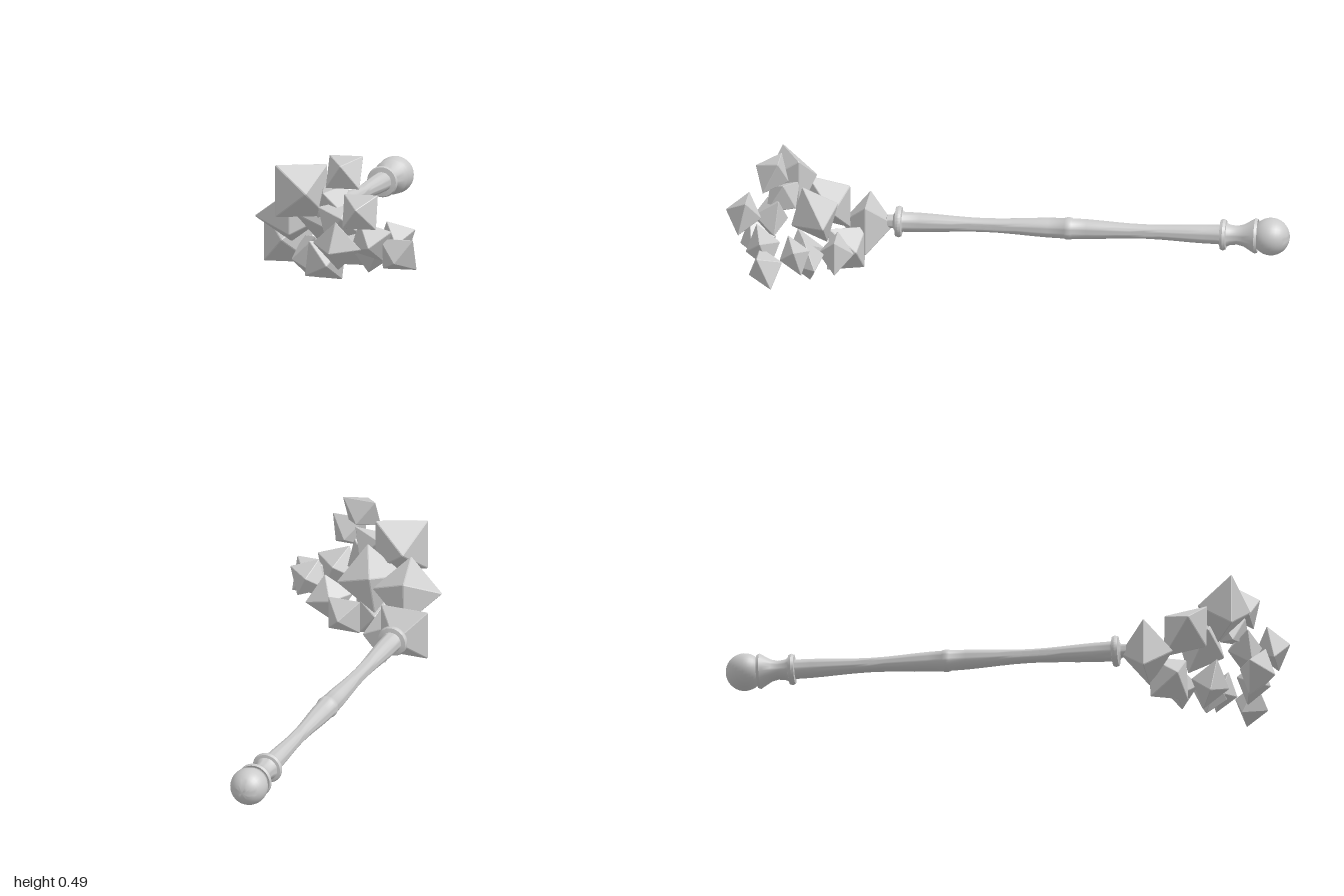
import * as THREE from 'three';
import { ConvexGeometry } from 'three/addons/geometries/ConvexGeometry.js';
import { toCreasedNormals } from 'three/addons/utils/BufferGeometryUtils.js';

const material = new THREE.MeshStandardMaterial({ color: 0xcccccc });

// Unit bipyramid: square in x/y, points along z, with bevelled edges
function crystalGeometry(bevel = 0.05) {
  const corners = [[1, 1], [-1, 1], [-1, -1], [1, -1]].map(([x, y]) => new THREE.Vector3(x, y, 0));
  const points = [];
  for (const side of [1, -1]) {
    const tip = new THREE.Vector3(0, 0, 1.05 * side);
    corners.forEach((corner, i) => {
      const face = [corner, corners[(i + 1) % 4], tip];
      const middle = new THREE.Vector3();
      face.forEach(p => middle.addScaledVector(p, 1 / 3));
      face.forEach(p => points.push(p.clone().lerp(middle, bevel)));
    });
  }
  return new ConvexGeometry(points);
}

// Turned handle: [z along the staff, radius], back to front
function handleGeometry() {
  const ball = [];
  for (let i = 0; i <= 14; i++) {
    const a = i / 14 * 2.45;
    ball.push([-0.932 - 0.068 * Math.cos(a), 0.068 * Math.sin(a)]);
  }
  // Tapered shaft with a swelling at its middle
  const swell = (from, to, r0, r1, thin) => Array.from({ length: 11 }, (_, i) => {
    const t = i / 10;
    const s = (1 - Math.cos(Math.PI * 2 * t)) / 2;
    return [from + (to - from) * t, (r0 + (r1 - r0) * t) * (1 - s) + thin * s];
  });
  const profile = [
    ...ball,
    [-0.878, 0.05], [-0.885, 0.06], [-0.875, 0.064], [-0.865, 0.058],
    [-0.835, 0.04], [-0.81, 0.034], [-0.785, 0.037], [-0.772, 0.043],
    [-0.77, 0.053], [-0.76, 0.057], [-0.75, 0.053], [-0.748, 0.036],
    ...swell(-0.74, -0.215, 0.035, 0.037, 0.026),
    [-0.212, 0.039], [-0.2, 0.041], [-0.188, 0.039],
    ...swell(-0.185, 0.395, 0.037, 0.036, 0.025),
    [0.4, 0.038], [0.403, 0.053], [0.413, 0.057], [0.424, 0.053], [0.427, 0.036],
    [0.433, 0.025], [0.455, 0.024], [0.462, 0],
  ];
  const geometry = new THREE.LatheGeometry(profile.map(([z, r]) => new THREE.Vector2(Math.max(r, 0), z)), 32);
  geometry.rotateX(Math.PI / 2);
  return toCreasedNormals(geometry, 0.75);
}

export function createModel() {
  const model = new THREE.Group();

  const handle = new THREE.Mesh(handleGeometry(), material);
  handle.name = 'handle';
  handle.position.set(-0.235, 0.144, 0);
  model.add(handle);

  // Crystals: x, y, z, half size, yaw, pitch, roll
  const crystals = [
    [-0.235, 0.133, 0.525, 0.09, 0, 0, 0],
    [-0.114, 0.343, 0.79, 0.094, 0.42, 0, 0],
    [0.06, 0.424, 0.838, 0.062, 0, -0.45, 0],
    [0.144, 0.296, 0.932, 0.062, 0, -0.22, 0],
    [0.26, 0.133, 0.84, 0.062, 0, 0.42, 0],
    [-0.19, 0.228, 0.66, 0.09, 0.2, 0.65, 0.78],
    [-0.035, 0.235, 0.695, 0.088, 0.3, 0.4, 0.65],
    [-0.128, 0.075, 0.59, 0.074, -1.0, 0.1, 0.1],
    [0.01, 0.315, 0.805, 0.061, -0.5, -0.5, 0.2],
    [-0.04, 0.085, 0.73, 0.067, 0.3, 0.2, -0.1],
    [0.035, 0.115, 0.61, 0.061, 0, 0, 0],
    [0.046, 0.162, 0.89, 0.067, -0.2, 0.3, 0.7],
    [0.04, 0.25, 0.845, 0.062, 0.4, -0.2, 0.2],
    [0.165, 0.18, 0.86, 0.061, 0.1, 0.3, -0.32],
    [0.228, 0.175, 0.738, 0.054, 0.2, 0.3, -0.3],
    [0.132, 0.125, 0.705, 0.062, 0.4, 0.2, 0.6],
  ];
  const geometry = crystalGeometry();
  const cluster = new THREE.Group();
  cluster.name = 'crystalCluster';
  for (const [x, y, z, size, yaw, pitch, roll] of crystals) {
    const crystal = new THREE.Mesh(geometry, material);
    crystal.name = 'crystal';
    crystal.position.set(x, y, z);
    crystal.rotation.set(pitch, yaw, roll, 'YXZ');
    crystal.scale.setScalar(size * 1.02);
    cluster.add(crystal);
  }
  model.add(cluster);
  return model;
}
